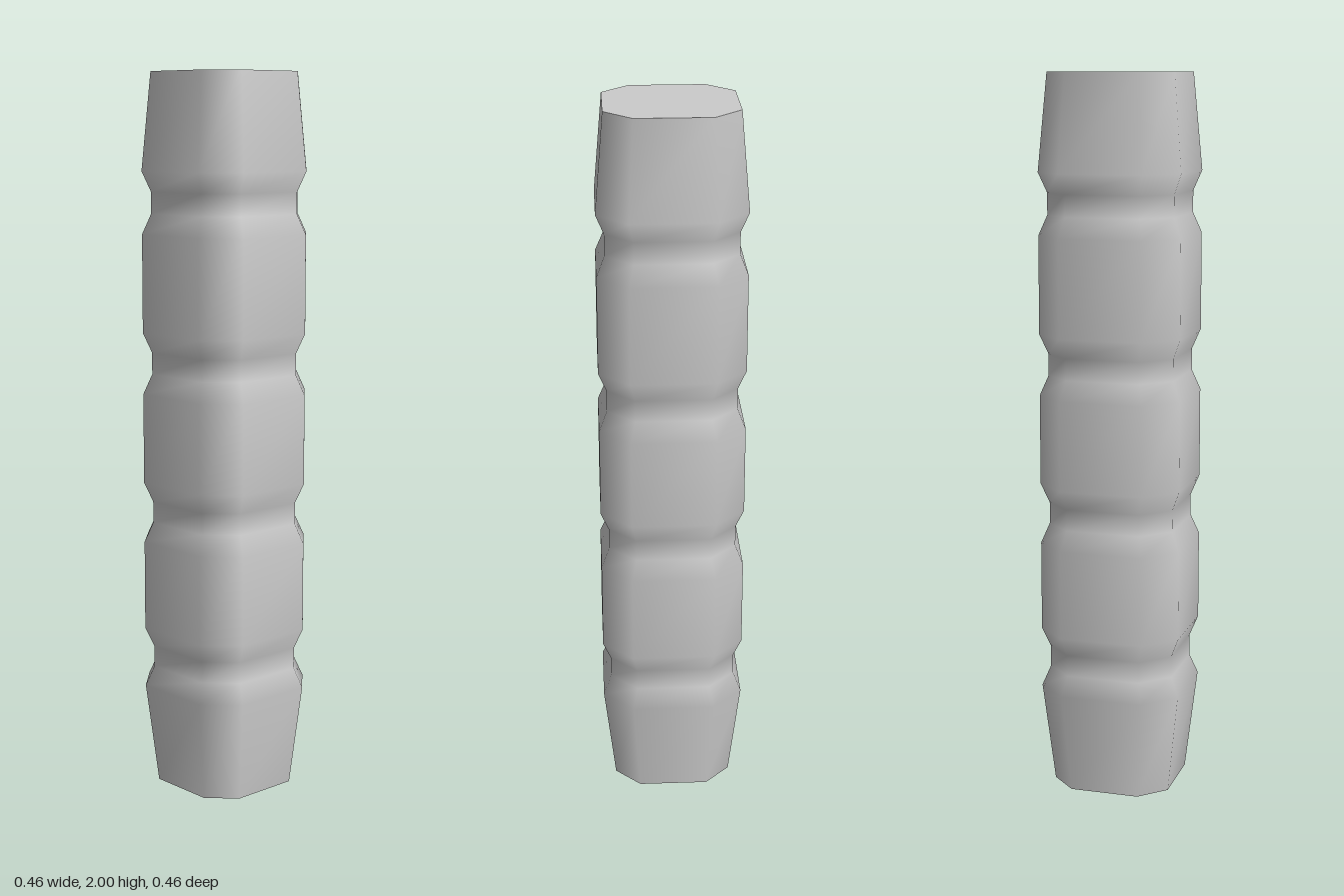
import * as THREE from 'three';

const RADIUS = 0.2305;
const SIDES = 8;

// Uneven octagon: short and long sides alternate, repeating every quarter turn
const corners = [];
for (let q = 0; q < 4; q++) {
  for (const deg of [-21.1, 8.7]) {
    const a = THREE.MathUtils.degToRad(deg + q * 90);
    corners.push([Math.cos(a) * RADIUS, Math.sin(a) * RADIUS]);
  }
}

// Profile as [height, scale]: tapered ends with four grooves between
const BOTTOM = 0.84, TOP = 0.885, GROOVE = 0.89;
const profile = [[0, BOTTOM]];
for (const y of [0.37, 0.79, 1.21, 1.65]) {
  profile.push([y - 0.085, 1], [y - 0.03, GROOVE], [y + 0.03, GROOVE], [y + 0.085, 1]);
}
profile.push([2, TOP]);

// Smooth side wall lofted through the profile rings
function wallGeometry() {
  const positions = [], index = [];
  for (const [y, s] of profile) {
    for (const [x, z] of corners) positions.push(x * s, y, z * s);
  }
  for (let r = 0; r < profile.length - 1; r++) {
    for (let i = 0; i < SIDES; i++) {
      const a = r * SIDES + i, b = r * SIDES + (i + 1) % SIDES;
      index.push(a, a + SIDES, b, b, a + SIDES, b + SIDES);
    }
  }
  const geometry = new THREE.BufferGeometry();
  geometry.setAttribute('position', new THREE.Float32BufferAttribute(positions, 3));
  geometry.setIndex(index);
  geometry.computeVertexNormals();
  return geometry;
}

// Flat end cap; dir is 1 for facing up, -1 for facing down
function capGeometry(scale, y, dir) {
  const points = corners.map(([x, z]) => new THREE.Vector2(x * scale, -dir * z * scale));
  return new THREE.ShapeGeometry(new THREE.Shape(points))
    .rotateX(-dir * Math.PI / 2)
    .translate(0, y, 0);
}

export function createModel() {
  const group = new THREE.Group();
  group.name = 'groovedHandle';
  const material = new THREE.MeshStandardMaterial({ color: 0xcccccc });
  const add = (name, geometry) => {
    const mesh = new THREE.Mesh(geometry, material);
    mesh.name = name;
    group.add(mesh);
  };
  add('grip', wallGeometry());
  add('topCap', capGeometry(TOP, 2, 1));
  add('bottomCap', capGeometry(BOTTOM, 0, -1));
  return group;
}
